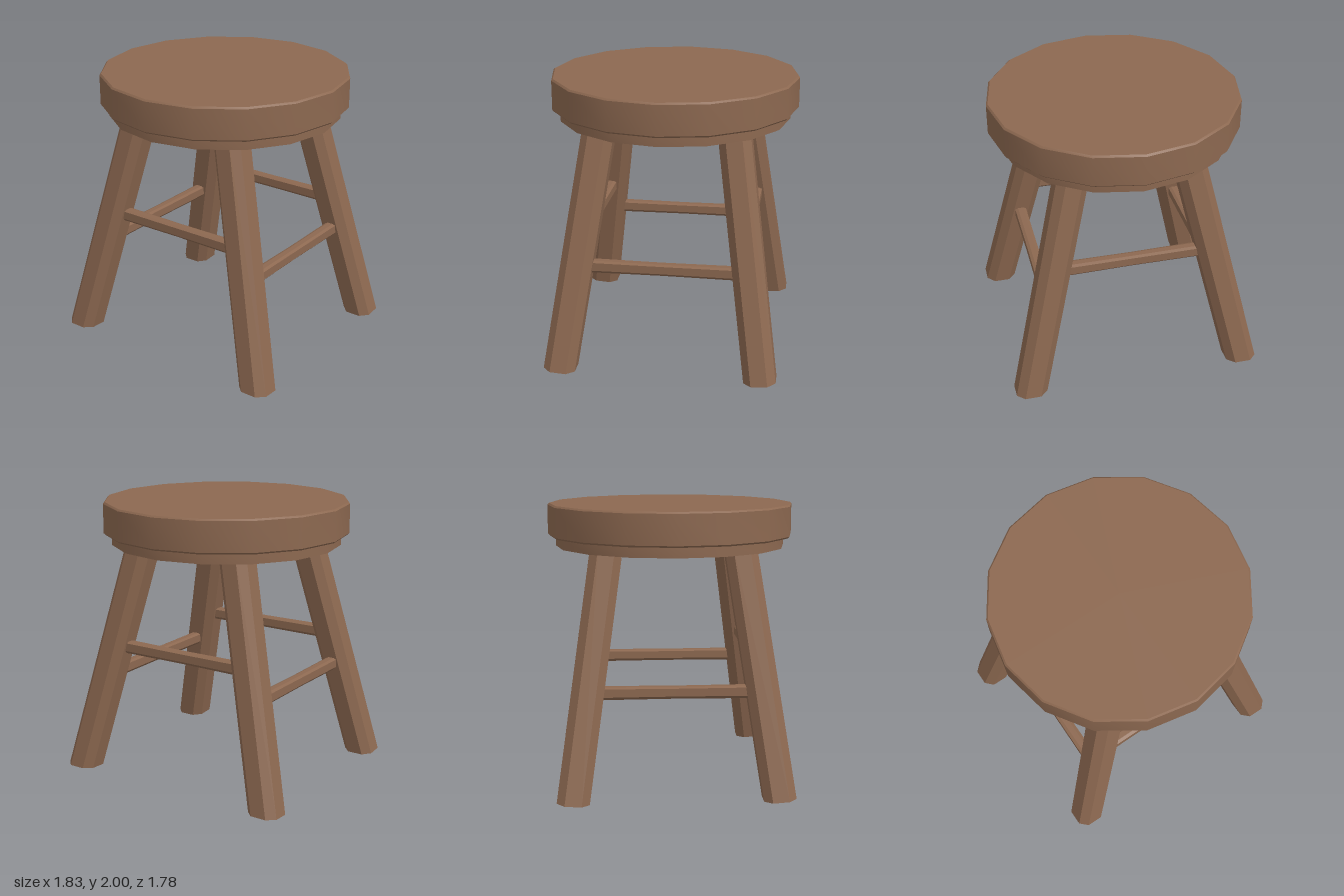
import * as THREE from 'three';
import { toCreasedNormals } from 'three/addons/utils/BufferGeometryUtils.js';

const wood = new THREE.MeshStandardMaterial({ color: 0x8c6850 });
const flatWood = new THREE.MeshStandardMaterial({ color: 0x8c6850, flatShading: true });

// Rectangle with cut corners (top and bottom cuts may differ)
function chamferedRect(hw, hh, cut, top = cut, bottom = cut) {
  return new THREE.Shape([
    [-hw + cut, -hh], [hw - cut, -hh], [hw, -hh + bottom], [hw, hh - top],
    [hw - cut, hh], [-hw + cut, hh], [-hw, hh - top], [-hw, -hh + bottom],
  ].map(([x, y]) => new THREE.Vector2(x, y)));
}

// Move every vertex by a rule
function warp(geo, rule) {
  const p = geo.attributes.position;
  const v = new THREE.Vector3();
  for (let i = 0; i < p.count; i++) {
    rule(v.fromBufferAttribute(p, i));
    p.setXYZ(i, v.x, v.y, v.z);
  }
  geo.computeVertexNormals();
  return geo;
}

// Leg centre line at a given height
const legX = (y) => 0.8 - 0.237 * y;
const legZ = (y) => 0.714 - 0.144 * y;

// Splayed eight-sided leg with a foot cut tilted towards its outer z side
function leg(sx, sz) {
  const geo = new THREE.ExtrudeGeometry(chamferedRect(0.113, 0.113, 0.055), { depth: 1.74, bevelEnabled: false });
  geo.rotateX(-Math.PI / 2);
  return warp(geo, (v) => {
    const y = v.y + 0.008 + 0.07 * v.z * sz;
    v.set(v.x + sx * legX(v.y), y, v.z + sz * legZ(v.y));
  });
}

// Rung along z, slightly slimmer in the middle
function rung(length) {
  const shape = chamferedRect(0.043, 0.046, 0.022, 0.01, 0.022);
  const geo = new THREE.ExtrudeGeometry(shape, { depth: length, steps: 2, bevelEnabled: false });
  geo.translate(0, 0, -length / 2);
  return warp(geo, (v) => {
    const s = Math.abs(v.z) < 0.01 ? 0.92 : 1;
    v.x *= s;
    v.y *= s;
  });
}

// Sixteen-sided turned disc
function disc(profile) {
  const geo = new THREE.LatheGeometry(profile.map(([r, y]) => new THREE.Vector2(r, y)), 16);
  return toCreasedNormals(geo, 0.5);
}

export function createModel() {
  const stool = new THREE.Group();
  stool.name = 'stool';
  const add = (name, geo, mat) => {
    const mesh = new THREE.Mesh(geo, mat);
    mesh.name = name;
    stool.add(mesh);
    return mesh;
  };

  // Seat and the narrower ring beneath it
  add('seat', disc([[0, 1.765], [0.88, 1.765], [0.892, 1.777], [0.892, 1.988], [0.88, 2], [0, 2]]), wood);
  add('seatSupport', disc([[0, 1.69], [0.835, 1.69], [0.835, 1.77], [0, 1.77]]), wood);

  // Four legs
  for (const sx of [1, -1]) {
    for (const sz of [1, -1]) {
      add(`${sz > 0 ? 'front' : 'back'}${sx > 0 ? 'Left' : 'Right'}Leg`, leg(sx, sz), flatWood);
    }
  }

  // Higher rungs at front and back, lower ones at the sides
  const high = 0.949, low = 0.731;
  for (const s of [1, -1]) {
    const across = add(s > 0 ? 'frontRung' : 'backRung', rung(2 * legX(high)), flatWood);
    across.rotation.y = Math.PI / 2;
    across.position.set(0, high, s * legZ(high));
    const side = add(s > 0 ? 'leftRung' : 'rightRung', rung(2 * legZ(low)), flatWood);
    side.position.set(s * legX(low), low, 0);
  }
  return stool;
}
